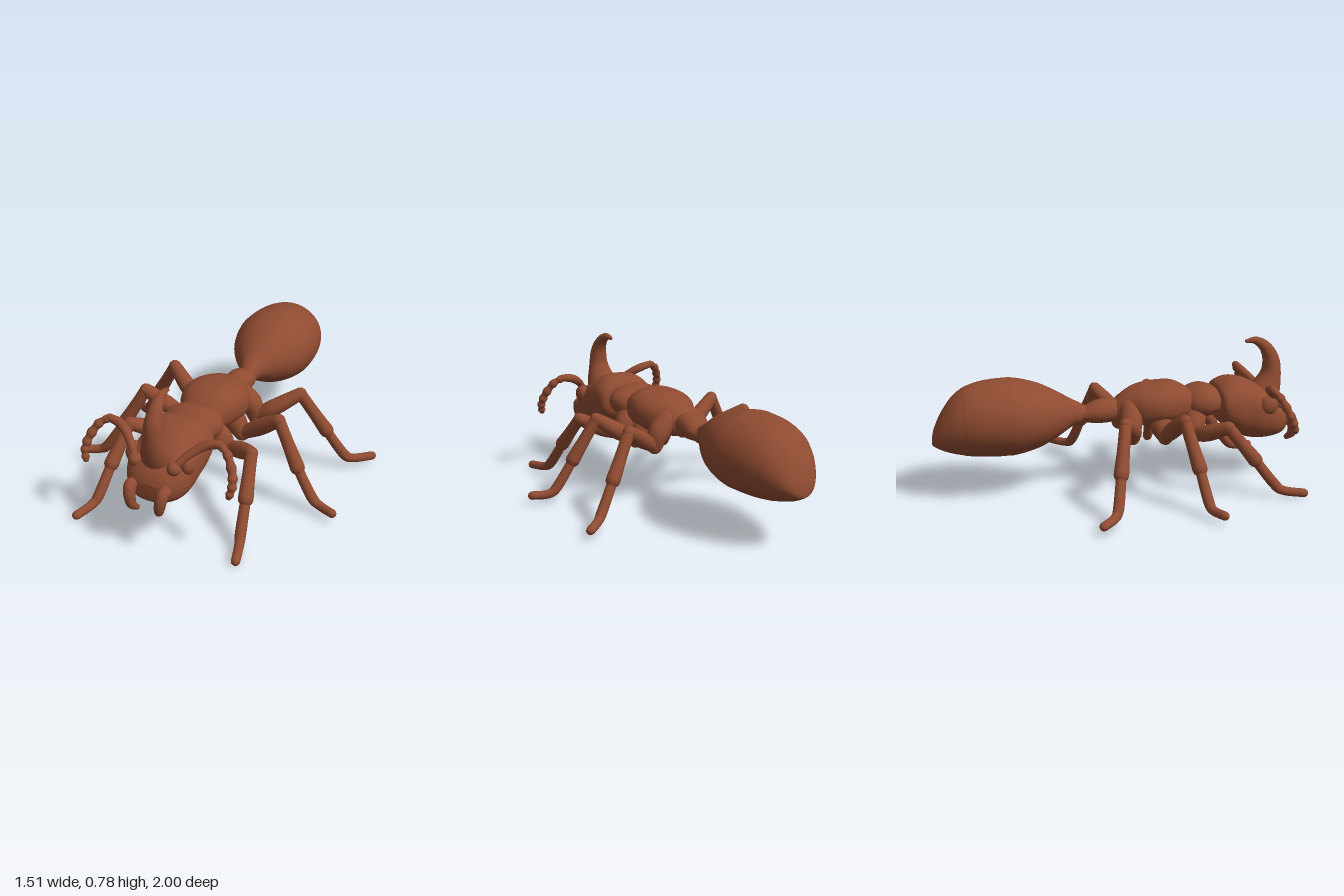
import * as THREE from 'three';

const brown = new THREE.MeshStandardMaterial({ color: 0x8f4b31 });
brown.name = 'rust brown';

// Catmull-Rom interpolation of any list of number tuples
function smooth(list, t) {
  const n = list.length - 1;
  const i = Math.min(Math.floor(t * n), n - 1);
  const f = t * n - i;
  const at = (k) => list[Math.max(0, Math.min(n, k))];
  return at(i).map((b, k) => {
    const a = at(i - 1)[k], c = at(i + 1)[k], d = at(i + 2)[k];
    const m0 = (c - a) / 2, m1 = (d - b) / 2;
    return b + m0 * f + (3 * (c - b) - 2 * m0 - m1) * f * f + (2 * (b - c) + m0 + m1) * f * f * f;
  });
}

// Closed skin over rings of points, with a centre point at each end
function skin(name, rings) {
  const n = rings[0].length, pos = [], idx = [];
  rings.forEach((r) => r.forEach((p) => pos.push(p.x, p.y, p.z)));
  for (let i = 0; i < rings.length - 1; i++) {
    for (let j = 0; j < n; j++) {
      const a = i * n + j, b = i * n + (j + 1) % n;
      idx.push(a, b, a + n, b, b + n, a + n);
    }
  }
  const last = (rings.length - 1) * n;
  [0, last].forEach((start, end) => {
    const c = new THREE.Vector3();
    rings[start / n].forEach((p) => c.addScaledVector(p, 1 / n));
    const k = pos.length / 3;
    pos.push(c.x, c.y, c.z);
    for (let j = 0; j < n; j++) {
      const a = start + j, b = start + (j + 1) % n;
      if (end) idx.push(a, b, k); else idx.push(b, a, k);
    }
  });
  const g = new THREE.BufferGeometry();
  g.setAttribute('position', new THREE.Float32BufferAttribute(pos, 3));
  g.setIndex(idx);
  g.computeVertexNormals();
  const mesh = new THREE.Mesh(g, brown);
  mesh.name = name;
  return mesh;
}

// Body part along z from sections [z, centreY, halfWidth, halfHeight], z rising
function loft(name, sections, { square = 1, scale = () => 1, steps = 48 } = {}) {
  const rings = [];
  const pw = (v) => Math.sign(v) * Math.abs(v) ** square;
  for (let i = 0; i <= steps; i++) {
    const [z, cy, rx, ry] = smooth(sections, i / steps);
    const s = scale(z), ring = [];
    for (let j = 0; j < 40; j++) {
      const a = (j / 40) * Math.PI * 2;
      ring.push(new THREE.Vector3(rx * s * pw(Math.cos(a)), cy + ry * s * pw(Math.sin(a)), z));
    }
    rings.push(ring);
  }
  return skin(name, rings);
}

// Round-ended limb along points [x, y, z, radius]; side = -1 mirrors it
function limb(name, points, side = 1, swell = () => 1, steps = 28) {
  const pts = points.map(([x, y, z, r]) => [x * side, y, z, r]);
  const samples = [];
  for (let i = 0; i <= steps; i++) {
    const [x, y, z, r] = smooth(pts, i / steps);
    samples.push({ c: new THREE.Vector3(x, y, z), r: Math.max(0.003, r * swell(i / steps)) });
  }
  samples.forEach((s, i) => {
    s.t = samples[Math.min(i + 1, steps)].c.clone().sub(samples[Math.max(i - 1, 0)].c).normalize();
  });
  const cap = (s, dir) => [0.25, 0.6, 0.9].map((k) => ({
    c: s.c.clone().addScaledVector(s.t, dir * s.r * Math.sqrt(1 - k * k)), r: s.r * k, t: s.t,
  }));
  const all = [...cap(samples[0], -1), ...samples, ...cap(samples[steps], 1).reverse()];
  let N = new THREE.Vector3(0.31, 0.2, 0.93);
  const rings = all.map(({ c, r, t }) => {
    N = N.clone().addScaledVector(t, -N.dot(t)).normalize();
    const B = t.clone().cross(N);
    return Array.from({ length: 16 }, (_, j) => {
      const a = (j / 16) * Math.PI * 2;
      return c.clone().addScaledVector(N, r * Math.cos(a)).addScaledVector(B, r * Math.sin(a));
    });
  });
  return skin(name, rings);
}

function ball(name, x, y, z, rx, ry, rz) {
  const m = new THREE.Mesh(new THREE.SphereGeometry(1, 24, 16), brown);
  m.name = name;
  m.position.set(x, y, z);
  m.scale.set(rx, ry, rz);
  return m;
}

// Joint positions: coxa (3), femur end (2), tibia end, ankle (2), toe
const legs = {
  front: [[.06, .42, .42], [.12, .35, .39], [.15, .30, .38], [.25, .335, .43], [.345, .385, .51],
    [.38, .21, .65], [.40, .08, .75], [.415, .04, .80], [.445, .028, .905]],
  middle: [[.07, .42, .22], [.12, .35, .21], [.16, .30, .22], [.27, .37, .23], [.385, .45, .26],
    [.51, .23, .305], [.60, .09, .325], [.65, .055, .335], [.73, .052, .37]],
  hind: [[.07, .44, .05], [.13, .38, .04], [.155, .31, .04], [.25, .37, .02], [.375, .45, -.05],
    [.51, .23, -.105], [.60, .09, -.14], [.645, .055, -.17], [.73, .052, -.243]],
};

function buildLeg(name, p, side) {
  const g = new THREE.Group();
  g.name = name + (side > 0 ? 'LegLeft' : 'LegRight');
  const path = (ids, radii) => ids.map((id, i) => [...p[id], radii[i]]);
  g.add(limb('coxa', path([0, 1, 2], [.06, .06, .042]), side));
  g.add(limb('femur', path([2, 3, 4], [.034, .045, .034]), side));
  const mid = p[4].map((v, k) => (v + p[5][k]) / 2);
  g.add(limb('tibia', [[...p[4], .032], [...mid, .033], [...p[5], .039]], side));
  g.add(limb('tarsus', path([5, 6, 7, 8], [.026, .028, .024, .023]), side));
  return g;
}

export function createModel() {
  const ant = new THREE.Group();
  ant.name = 'hornedAnt';

  // Abdomen with shallow overlapping plates, each stepping in behind the last
  const seams = [-.38, -.60, -.84];
  const plates = (z) => seams.reduce((s, e) => s - 0.012 * THREE.MathUtils.smoothstep(e - z, -.01, .01)
    + 0.012 * THREE.MathUtils.smoothstep(e - z, .02, .16), 1);
  ant.add(loft('abdomen', [
    [-1, .31, .02, .015], [-.985, .335, .07, .05], [-.935, .372, .125, .112], [-.86, .405, .175, .167],
    [-.75, .42, .215, .196], [-.6, .425, .234, .206], [-.45, .425, .202, .176], [-.35, .425, .145, .128],
    [-.26, .425, .08, .075], [-.22, .42, .06, .06], [-.18, .415, .04, .04],
  ], { scale: plates, steps: 110 }));

  // Waist node
  ant.add(loft('waist', [
    [-.23, .41, .04, .035], [-.19, .41, .055, .042], [-.13, .42, .074, .06], [-.06, .425, .07, .066],
    [.0, .425, .06, .055], [.04, .425, .05, .05],
  ]));

  // Thorax and shoulder plate
  ant.add(loft('thorax', [
    [-.03, .415, .05, .045], [-.01, .42, .075, .065], [.04, .435, .105, .09], [.11, .447, .155, .105],
    [.2, .455, .177, .11], [.3, .457, .155, .11], [.37, .45, .12, .085], [.41, .45, .09, .05],
  ], { square: 0.85 }));
  ant.add(loft('shoulder', [
    [.35, .44, .08, .05], [.38, .445, .125, .07], [.42, .45, .15, .085], [.47, .455, .16, .088],
    [.52, .455, .14, .075], [.57, .45, .10, .05],
  ], { square: 0.9 }));

  // Head
  ant.add(loft('head', [
    [.535, .44, .10, .07], [.555, .44, .162, .105], [.62, .425, .175, .148], [.70, .40, .17, .162],
    [.78, .375, .172, .15], [.86, .35, .16, .118], [.92, .33, .115, .078], [.945, .32, .06, .04],
  ], { square: 0.85 }));
  ant.add(limb('horn', [
    [0, .40, .78, .11], [0, .49, .835, .085], [0, .58, .865, .057], [0, .66, .862, .046],
    [0, .725, .83, .034], [0, .765, .775, .022], [0, .765, .72, .01],
  ], 1, () => 1, 40));

  for (const side of [1, -1]) {
    // Eyes, mandibles and antennae
    ant.add(ball('eye', side * .15, .435, .805, .035, .052, .05));
    ant.add(limb('mandible', [
      [.075, .31, .89, .035], [.09, .34, .945, .032], [.085, .305, .972, .03],
      [.075, .25, .973, .025], [.06, .222, .95, .015],
    ], side));
    ant.add(ball('antennaSocket', side * .105, .435, .87, .035, .035, .035));
    ant.add(limb('antennaScape', [
      [.10, .435, .875, .018], [.16, .50, .82, .021], [.23, .545, .775, .024], [.30, .562, .765, .02],
    ], side));
    ant.add(limb('antennaTip', [
      [.30, .562, .765, .018], [.35, .53, .79, .021], [.39, .46, .825, .022],
      [.40, .40, .85, .021], [.39, .355, .865, .018],
    ], side, (t) => 1 - 0.14 * Math.cos(t * Math.PI * 12), 60));

    // Legs
    for (const [name, p] of Object.entries(legs)) ant.add(buildLeg(name, p, side));
  }
  return ant;
}
